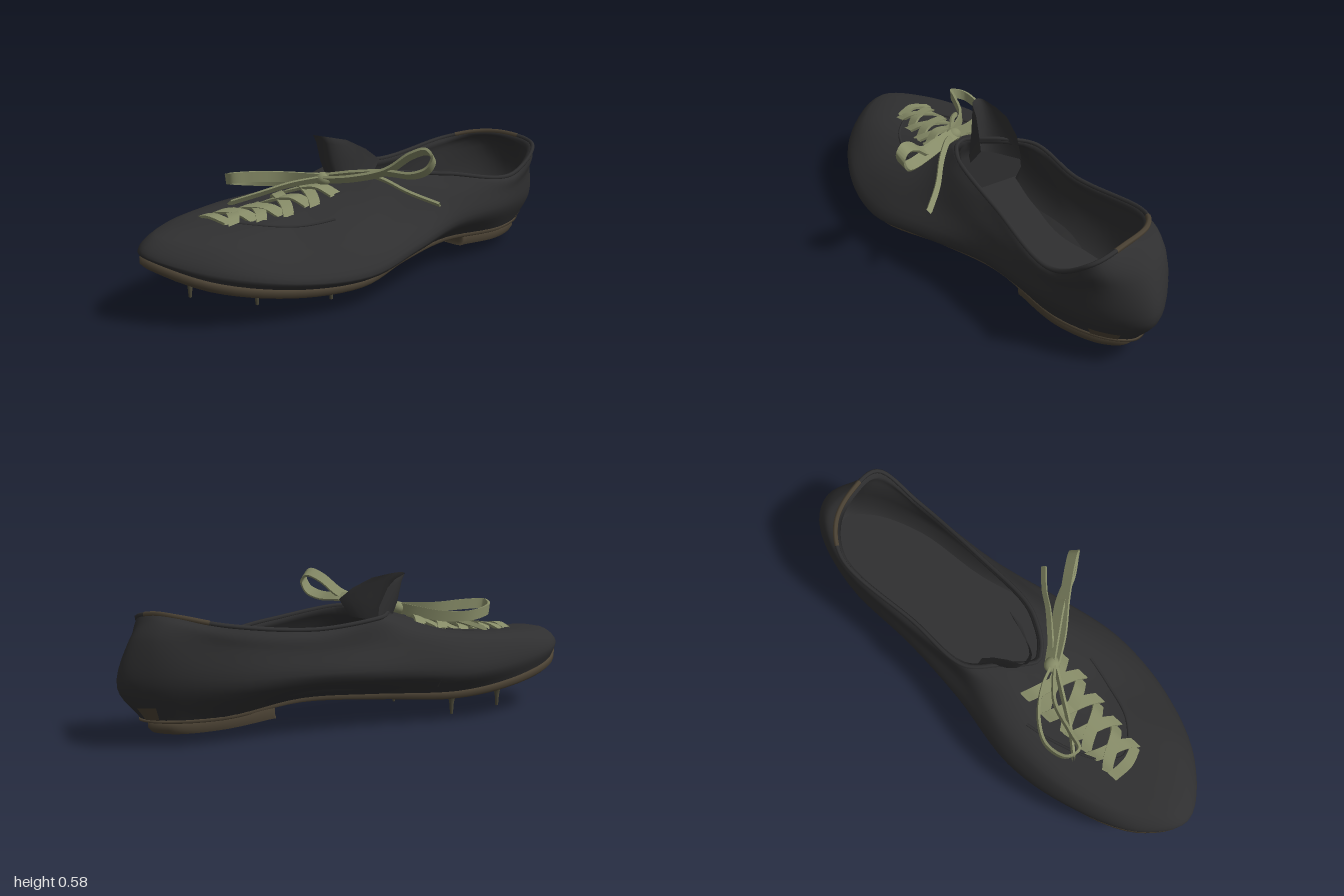
import * as THREE from 'three';
import { toCreasedNormals } from 'three/addons/utils/BufferGeometryUtils.js';

const mat = (name, color, side = THREE.FrontSide) => {
  const m = new THREE.MeshStandardMaterial({ color, side });
  m.name = name;
  return m;
};
const V = (x, y, z) => new THREE.Vector3(x, y, z);
const N = 96; // samples round each loop

// Flat x, y, z list to points
const points = (a) => {
  const out = [];
  for (let i = 0; i < a.length; i += 3) out.push(V(a[i], a[i + 1], a[i + 2]));
  return out;
};

// Smooth closed loop through a few points
const loop = (a) => {
  const c = new THREE.CatmullRomCurve3(points(a), true);
  return Array.from({ length: N }, (_, j) => c.getPoint(j / N));
};

// Skin over rows of points
function skin(rows, closed) {
  const n = rows[0].length, pos = [], idx = [];
  rows.forEach((r) => r.forEach((p) => pos.push(p.x, p.y, p.z)));
  for (let i = 0; i < rows.length - 1; i++) {
    for (let j = 0; j < (closed ? n : n - 1); j++) {
      const k = (j + 1) % n, a = i * n + j, b = a + n, c = (i + 1) * n + k, d = i * n + k;
      idx.push(a, b, c, a, c, d);
    }
  }
  const g = new THREE.BufferGeometry();
  g.setAttribute('position', new THREE.Float32BufferAttribute(pos, 3));
  g.setIndex(idx);
  g.computeVertexNormals();
  return g;
}

// Fill a loop by joining its two long sides
function fill(l, up) {
  const a = [], b = [];
  for (let j = 0; j <= N / 2; j++) {
    a.push(l[j]);
    b.push(l[(N - j) % N]);
  }
  return skin(up ? [a, b] : [b, a], false);
}

// Loops round the shoe: heel back, left side, toe, right side
const soleEdge = [
  -.03, .095, -.91, .05, .095, -.85, .125, .095, -.65, .14, .12, -.3, .21, .115, 0, .295, .1, .3, .25, .12, .6, .12, .175, .86,
  -.09, .24, .985, -.235, .195, .87, -.32, .145, .6, -.315, .115, .3, -.2, .12, 0, -.13, .125, -.3, -.16, .095, -.65, -.12, .095, -.86];
const belly = [
  -.03, .22, -1, .09, .2, -.89, .183, .2, -.65, .222, .2, -.3, .295, .17, 0, .345, .135, .3, .285, .155, .6, .13, .21, .865,
  -.09, .26, 1, -.245, .25, .885, -.35, .22, .6, -.375, .2, .33, -.31, .21, 0, -.275, .22, -.3, -.257, .22, -.65, -.17, .24, -.9];
const middle = [
  -.03, .38, -.95, .1, .34, -.88, .183, .28, -.67, .2, .3, -.3, .22, .285, 0, .255, .25, .28, .21, .24, .55, .1, .29, .79,
  -.09, .315, .93, -.22, .315, .82, -.315, .32, .57, -.322, .325, .28, -.27, .33, 0, -.262, .32, -.3, -.255, .36, -.67, -.16, .39, -.9];
const shoulder = [
  -.02, .45, -.88, .12, .4, -.87, .185, .32, -.68, .165, .365, -.3, .15, .395, 0, .1, .36, .2, .055, .338, .33, .01, .332, .42,
  -.06, .337, .46, -.11, .338, .42, -.15, .35, .33, -.2, .385, .2, -.25, .4, 0, -.255, .37, -.3, -.25, .41, -.7, -.15, .45, -.86];
const rim = [
  -.01, .47, -.85, .135, .44, -.85, .175, .34, -.67, .148, .395, -.3, .11, .44, 0, .06, .44, .1, .03, .43, .14, 0, .425, .165,
  -.03, .42, .18, -.06, .42, .165, -.1, .425, .13, -.15, .43, .08, -.24, .425, -.02, -.235, .4, -.3, -.24, .44, -.68, -.15, .465, -.8];

export function createModel() {
  const leather = mat('black leather', 0x2f2f30, THREE.DoubleSide);
  const soleMat = mat('brown sole', 0x4a4133);
  const laceMat = mat('olive lace', 0x868b67, THREE.DoubleSide);
  const spikeMat = mat('dull spike', 0x4d4a39);
  const group = new THREE.Group();
  const add = (name, geometry, material) => {
    const m = new THREE.Mesh(geometry, material);
    m.name = name;
    group.add(m);
    return m;
  };

  // Upper: loops blended from the sole to the collar, then a lining that follows the walls down
  const rings = [soleEdge, belly, middle, shoulder, rim].map(loop);
  const ribs = rings[0].map((_, j) => new THREE.CatmullRomCurve3(rings.map((r) => r[j])));
  const rows = Array.from({ length: 21 }, (_, i) => ribs.map((c) => c.getPoint(i / 20)));
  const lining = [20, 17, 14, 11, 8, 5, 2].map((i) => rows[i].map((p) =>
    V(-.04 + (p.x + .04) * .93, Math.max(p.y - .012, .15), Math.min(-.33 + (p.z + .33) * .96, .2))));
  add('upper', skin([...rows, ...lining], true), leather);
  add('insole', fill(lining[6], true), leather);

  // Collar piping, with a worn stretch at the back
  add('collarPiping', new THREE.TubeGeometry(new THREE.CatmullRomCurve3(points(rim), true), 120, .009, 6, true), leather);
  const worn = new THREE.CatmullRomCurve3([...rings[4].slice(86), ...rings[4].slice(0, 3)]);
  add('wornPiping', new THREE.TubeGeometry(worn, 24, .0105, 6), soleMat);

  // Seam round the lacing area
  const seam = new THREE.CatmullRomCurve3(rows[13].slice(32, 65));
  add('throatSeam', new THREE.TubeGeometry(seam, 48, .006, 6), leather);

  // Worn patches low on the heel
  [[91, 95], [4, 9]].forEach(([from, to]) => {
    const patch = rows.slice(0, 3).map((r) => r.slice(from, to).map((p) => V(-.03 + (p.x + .03) * 1.02, p.y, p.z * 1.004)));
    add('heelPatch', skin(patch, false), soleMat);
  });

  // Slab: a plate with rounded lower edge, tucked under a loop and thicker toward the toe
  const slab = (name, edge, thickness, taper, grow) => {
    const ring = (s, drop, lift) => edge.map((p) =>
      V(-.03 + (p.x + .03) * s, p.y + lift - drop * (thickness + taper * p.z), p.z * (1 + (s - 1) * .4)));
    const low = ring(grow - .04, 1, 0);
    add(name, skin([low, ring(grow, .55, 0), ring(grow, 0, .006), ring(.93, 0, .012)], true), soleMat);
    add(name + 'Bottom', fill(low, false), soleMat);
  };
  slab('sole', rings[0], .02, .016, 1.025);
  slab('heel', loop([
    -.03, .08, -.885, .05, .08, -.83, .12, .083, -.65, .128, .095, -.45, .125, .095, -.42,
    -.03, .095, -.42, -.13, .095, -.42, -.14, .095, -.45, -.155, .083, -.65, -.12, .08, -.83]), .034, 0, 1);

  // Spikes: slim points with flared bases
  const spike = new THREE.LatheGeometry(
    [[0, 0], [.006, .004], [.009, .045], [.014, .07], [.022, .085], [.038, .1]].map(([x, y]) => new THREE.Vector2(x, y)), 12);
  [[-.21, .002, .36], [.15, 0, .33], [-.2, .01, .61], [.07, .025, .62], [-.17, .1, .81], [-.05, .072, .83]]
    .forEach((p) => add('spike', spike, spikeMat).position.set(...p));

  // Tongue: curved flap standing at the front of the opening
  const flap = [
    [-.19, .36, .0, -.1, .37, .12, -.03, .38, .13, .04, .4, .03],
    [-.18, .46, .02, -.12, .47, .15, -.05, .48, .15, .03, .475, -.03],
    [-.165, .53, .07, -.12, .55, .17, -.06, .55, .16, .005, .52, .02],
    [-.145, .56, .12, -.115, .58, .19, -.075, .58, .18, -.03, .56, .09],
  ].map((a) => new THREE.CatmullRomCurve3(points(a)).getPoints(16));
  add('tongue', skin(flap, false), leather);

  // Ribbon: flat strip along a curve, its width along the given axis
  const ribbon = (name, path, width, axis) => {
    const c = new THREE.CatmullRomCurve3(points(path)), w = V(...axis).normalize();
    const n = path.length * 2;
    const strip = Array.from({ length: n + 1 }, (_, i) => {
      const p = c.getPoint(i / n), t = c.getTangent(i / n);
      const d = t.cross(w).normalize().multiplyScalar(.005);
      return [[1, 1], [1, -1], [-1, -1], [-1, 1]].map(([a, b]) =>
        p.clone().addScaledVector(w, a * width / 2).addScaledVector(d, b));
    });
    add(name, toCreasedNormals(skin(strip, true), .9), laceMat);
  };

  // Crossed laces
  for (let i = 0; i < 4; i++) {
    const z0 = .66 - i * .11, z1 = z0 - .1, cx = -.09 + i * .012, h = .085 + i * .01;
    const y = (z) => .343 + Math.max(0, .47 - z) * .24;
    for (const s of [-1, 1]) {
      ribbon('crossLace', [
        cx - s * h, y(z0) - .022, z0, cx - s * h * .5, y(z0) + .002, z0 - .03,
        cx + s * h * .5, y(z1) + .002 + s * .003, z1 + .03, cx + s * h, y(z1) - .022, z1], .05, [0, -.15, 1]);
    }
  }
  ribbon('frontLace', [-.17, .33, .68, -.09, .345, .69, -.02, .33, .67], .042, [0, -.05, 1]);

  // Bow: knot, two loops and two loose ends
  const knot = add('knot', new THREE.SphereGeometry(.034, 16, 10), laceMat);
  knot.position.set(-.01, .428, .23);
  knot.scale.set(1, .8, .9);
  ribbon('leftLoop', [
    -.01, .425, .24, .1, .44, .18, .21, .475, .1, .29, .54, .05, .345, .56, .02, .368, .535, .01,
    .35, .49, .02, .3, .465, .05, .2, .465, .09, .1, .455, .15, -.01, .435, .22], .046, [.35, .6, .7]);
  ribbon('rightLoop', [
    -.01, .43, .23, -.1, .42, .26, -.2, .405, .33, -.26, .41, .42, -.25, .43, .51, -.2, .445, .53,
    -.17, .445, .46, -.12, .435, .34, -.01, .43, .24], .042, [0, 1, .15]);
  ribbon('leftEnd', [0, .43, .22, .08, .455, .14, .15, .43, .07, .22, .375, -.01, .31, .33, -.09], .024, [.35, .6, .6]);
  ribbon('rightEnd', [-.01, .43, .25, -.08, .41, .35, -.15, .375, .45, -.22, .342, .53], .034, [.5, .6, -.3]);

  return group;
}
